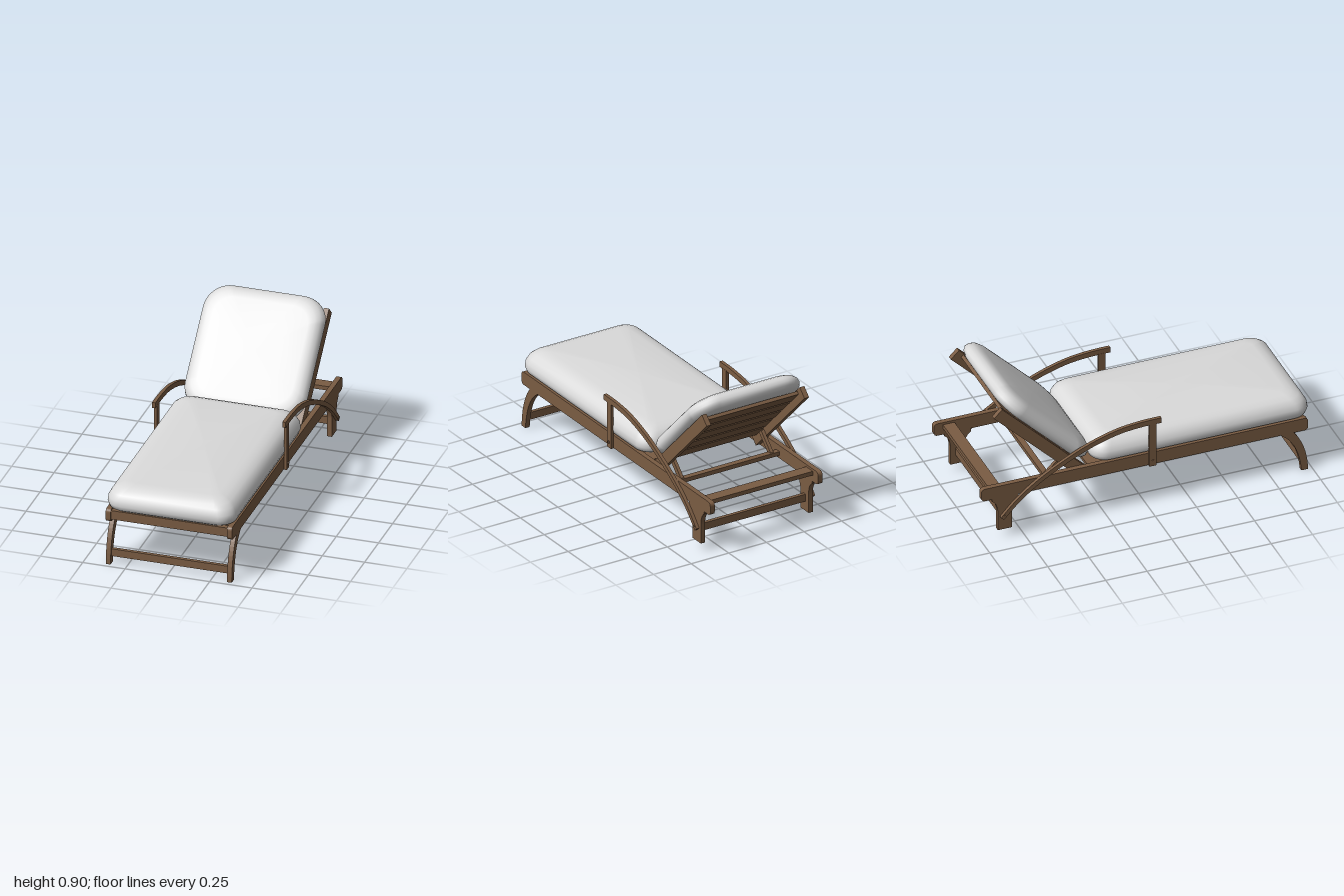
import * as THREE from 'three';

const wood = new THREE.MeshStandardMaterial({ color: 0x7a5c43 });
wood.name = 'wood';
const fabric = new THREE.MeshStandardMaterial({ color: 0xdadada });
fabric.name = 'cushion fabric';

function add(parent, name, geometry, material, x = 0, y = 0, z = 0) {
  const mesh = new THREE.Mesh(geometry, material);
  mesh.name = name;
  mesh.position.set(x, y, z);
  parent.add(mesh);
  return mesh;
}

const bar = (parent, name, w, h, d, x, y, z) =>
  add(parent, name, new THREE.BoxGeometry(w, h, d), wood, x, y, z);

// Board cut from a side profile drawn in (z, y), with its thickness along x
function sideBoard(shape, thickness) {
  const g = new THREE.ExtrudeGeometry(shape, { depth: thickness, bevelEnabled: false, curveSegments: 10 });
  g.translate(0, 0, -thickness / 2);
  g.rotateY(-Math.PI / 2);
  return g;
}

function roundedRect(x0, y0, x1, y1, r) {
  const s = new THREE.Shape();
  s.moveTo(x0 + r, y0);
  s.lineTo(x1 - r, y0);
  s.quadraticCurveTo(x1, y0, x1, y0 + r);
  s.lineTo(x1, y1 - r);
  s.quadraticCurveTo(x1, y1, x1 - r, y1);
  s.lineTo(x0 + r, y1);
  s.quadraticCurveTo(x0, y1, x0, y1 - r);
  s.lineTo(x0, y0 + r);
  s.quadraticCurveTo(x0, y0, x0 + r, y0);
  return s;
}

// Curved strip around a centre line, tapering from t0 to t1
function strip(points, t0, t1) {
  const curve = new THREE.SplineCurve(points.map(p => new THREE.Vector2(...p)));
  const n = 28, upper = [], lower = [];
  for (let i = 0; i <= n; i++) {
    const p = curve.getPoint(i / n), t = curve.getTangent(i / n);
    const h = THREE.MathUtils.lerp(t0, t1, i / n) / 2;
    upper.push(new THREE.Vector2(p.x - t.y * h, p.y + t.x * h));
    lower.unshift(new THREE.Vector2(p.x + t.y * h, p.y - t.x * h));
  }
  return new THREE.Shape([...upper, ...lower]);
}

// Soft pad lofted through rounded rectangles; rings are [inset, height, scale]
function cushion(width, length, radius, rings) {
  const pos = [], idx = [], seg = 10, n = 4 * (seg + 1);
  for (const [inset, y, scale = 1] of rings) {
    const r = Math.max(radius - inset * 0.5, 0.03);
    const cx = width / 2 - inset - r, cz = length / 2 - inset - r;
    for (let c = 0; c < 4; c++) {
      const sx = c === 0 || c === 3 ? 1 : -1, sz = c < 2 ? 1 : -1;
      for (let i = 0; i <= seg; i++) {
        const a = (c + i / seg) * Math.PI / 2;
        pos.push((sx * cx + r * Math.cos(a)) * scale, y, (sz * cz + r * Math.sin(a)) * scale);
      }
    }
  }
  for (let k = 0; k < rings.length - 1; k++) {
    for (let i = 0; i < n; i++) {
      const a = k * n + i, b = k * n + (i + 1) % n;
      idx.push(a, a + n, b, b, a + n, b + n);
    }
  }
  const g = new THREE.BufferGeometry();
  g.setAttribute('position', new THREE.Float32BufferAttribute(pos, 3));
  g.setIndex(idx);
  g.computeVertexNormals();
  return g;
}

export function createModel() {
  const model = new THREE.Group();
  model.name = 'sunLounger';

  // Side profiles
  const rail = roundedRect(-1, 0.265, 0.975, 0.345, 0.025);

  const frontLeg = new THREE.Shape();
  frontLeg.moveTo(0.935, 0);
  frontLeg.lineTo(0.975, 0);
  frontLeg.quadraticCurveTo(0.97, 0.17, 0.885, 0.27);
  frontLeg.lineTo(0.8, 0.27);
  frontLeg.quadraticCurveTo(0.92, 0.2, 0.935, 0);

  const rearLeg = new THREE.Shape();
  rearLeg.moveTo(-0.9, 0.05);
  rearLeg.lineTo(-0.815, 0.05);
  rearLeg.lineTo(-0.815, 0.17);
  rearLeg.quadraticCurveTo(-0.81, 0.22, -0.775, 0.245);
  rearLeg.lineTo(-0.775, 0.27);
  rearLeg.lineTo(-0.935, 0.27);
  rearLeg.lineTo(-0.935, 0.25);
  rearLeg.quadraticCurveTo(-0.9, 0.225, -0.9, 0.17);

  const arm = strip([[0.08, 0.562], [-0.05, 0.56], [-0.2, 0.54], [-0.39, 0.477],
    [-0.61, 0.363], [-0.77, 0.247], [-0.88, 0.135]], 0.034, 0.024);
  const strut = strip([[-0.48, 0.4], [-0.52, 0.36], [-0.58, 0.3]], 0.03, 0.03);

  // Mirrored frame parts
  for (const [side, s] of [['left', 1], ['right', -1]]) {
    add(model, side + 'Rail', sideBoard(rail, 0.03), wood, s * 0.358);
    add(model, side + 'FrontLeg', sideBoard(frontLeg, 0.028), wood, s * 0.358);
    add(model, side + 'RearLeg', sideBoard(rearLeg, 0.028), wood, s * 0.358);
    add(model, side + 'Armrest', sideBoard(arm, 0.02), wood, s * 0.385);
    bar(model, side + 'ArmPost', 0.018, 0.285, 0.042, s * 0.383, 0.4075, 0.03);
    add(model, side + 'BackStrut', sideBoard(strut, 0.02), wood, s * 0.298);
    for (const [y, z] of [[0.3, 0.03], [0.15, -0.865]]) {
      const bolt = new THREE.CylinderGeometry(0.008, 0.008, 0.04, 12);
      bolt.rotateZ(Math.PI / 2);
      add(model, side + 'Bolt', bolt, wood, s * 0.378, y, z);
    }
  }

  // Cross members
  bar(model, 'frontCrossbar', 0.69, 0.055, 0.03, 0, 0.3075, 0.95);
  bar(model, 'rearCrossbar', 0.69, 0.025, 0.07, 0, 0.318, -0.91);
  bar(model, 'strutCrossbar', 0.69, 0.025, 0.035, 0, 0.295, -0.58);
  bar(model, 'frontStretcher', 0.69, 0.045, 0.022, 0, 0.0675, 0.945);
  bar(model, 'rearStretcher', 0.69, 0.045, 0.022, 0, 0.1325, -0.858);

  // Seat slats
  for (let i = 0; i < 9; i++) {
    bar(model, 'seatSlat', 0.69, 0.02, 0.125, 0, 0.325, 0.865 - i * 0.1435);
  }

  // Reclined backrest
  const back = new THREE.Group();
  back.name = 'backrest';
  back.position.set(0, 0.35, -0.38);
  back.rotation.x = -Math.PI / 4;
  model.add(back);
  for (const s of [1, -1]) bar(back, 'backRail', 0.03, 0.72, 0.07, s * 0.325, 0.32, -0.035);
  for (let i = 0; i < 5; i++) {
    bar(back, 'backSlat', 0.62, 0.108, 0.02, 0, 0.07 + i * 0.128, -0.016);
  }

  // Cushions
  const seatPad = cushion(0.76, 1.32, 0.1, [
    [0.08, 0.336, 0], [0.08, 0.336], [0.035, 0.34], [0.01, 0.357], [0, 0.385], [0.004, 0.415],
    [0.02, 0.445], [0.045, 0.467], [0.08, 0.481], [0.12, 0.488], [0.12, 0.497, 0.6], [0.12, 0.502, 0.3], [0.12, 0.503, 0]]);
  add(model, 'seatCushion', seatPad, fabric, 0, 0, 0.34);

  const backPad = cushion(0.72, 0.75, 0.15, [
    [0.07, 0.002, 0], [0.07, 0.002], [0.03, 0.008], [0.008, 0.024], [0, 0.045], [0.004, 0.066],
    [0.02, 0.088], [0.045, 0.1], [0.08, 0.106], [0.08, 0.11, 0.6], [0.08, 0.111, 0]]);
  backPad.rotateX(Math.PI / 2);
  add(back, 'backCushion', backPad, fabric, -0.006, 0.34, 0);

  return model;
}
